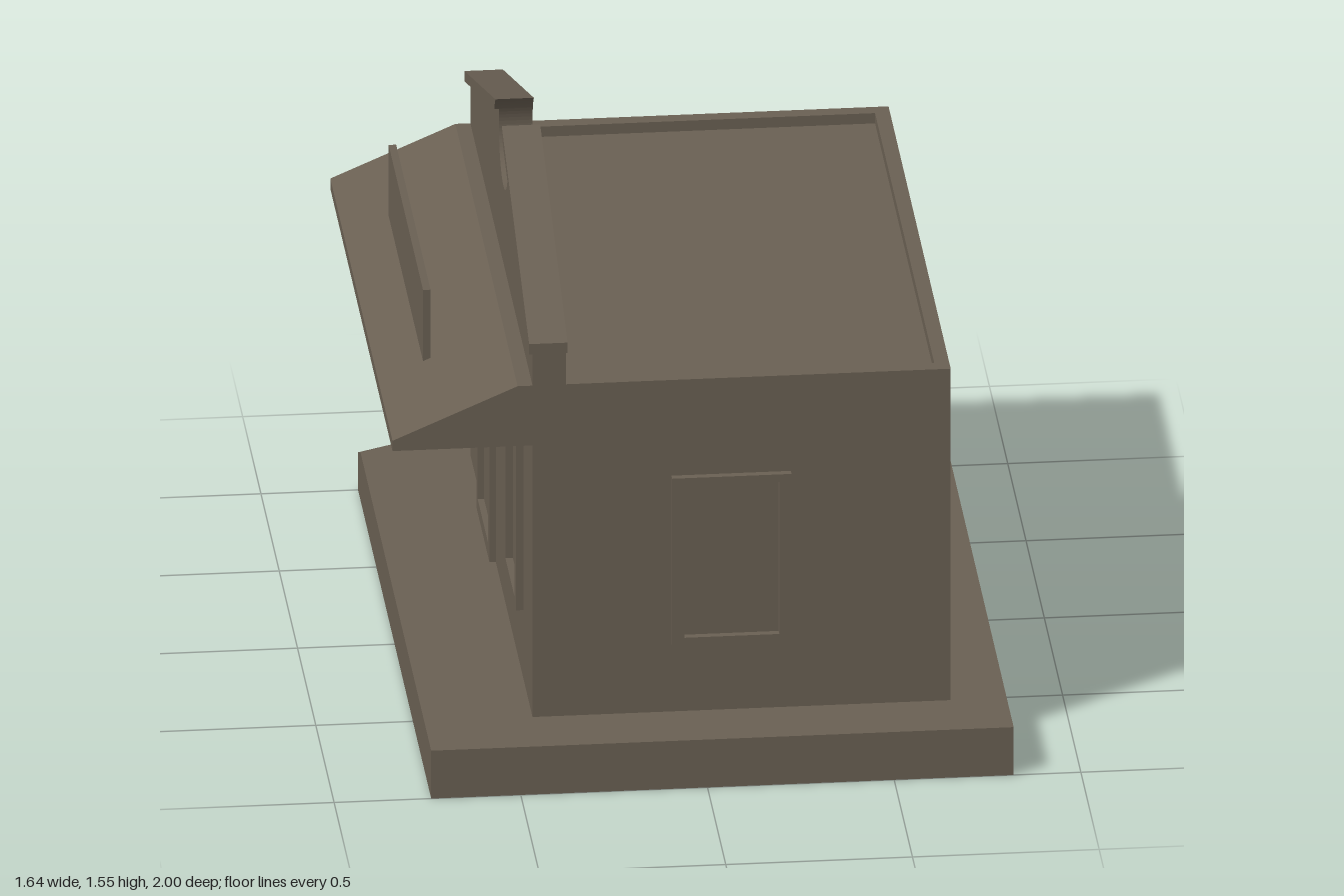
import * as THREE from 'three';
import { ConvexGeometry } from 'three/addons/geometries/ConvexGeometry.js';

const clay = new THREE.MeshStandardMaterial({ color: 0x6a6053 });
clay.name = 'clay';

function add(parent, name, geometry) {
  const mesh = new THREE.Mesh(geometry, clay);
  mesh.name = name;
  parent.add(mesh);
  return mesh;
}

// Box given by its minimum and maximum corners
function box(parent, name, [x0, y0, z0], [x1, y1, z1]) {
  const g = new THREE.BoxGeometry(x1 - x0, y1 - y0, z1 - z0);
  g.translate((x0 + x1) / 2, (y0 + y1) / 2, (z0 + z1) / 2);
  return add(parent, name, g);
}

const rect = (C, x0, y0, x1, y1) => new C([[x0, y0], [x1, y0], [x1, y1], [x0, y1]].map(p => new THREE.Vector2(...p)));

function extrude(shape, depth) {
  return new THREE.ExtrudeGeometry(shape, { depth, bevelEnabled: false, curveSegments: 24 });
}

// Extrude a (-z, y) profile along x from x0 to x1
function alongX(shape, x0, x1) {
  return extrude(shape, x1 - x0).rotateY(Math.PI / 2).translate(x0, 0, 0);
}

// Rectangular frame in the local xy plane, with any number of openings
function frame(outer, holes, depth) {
  const s = rect(THREE.Shape, ...outer);
  for (const h of holes) s.holes.push(rect(THREE.Path, ...h));
  return extrude(s, depth);
}

// Window centred on the local x axis, facing local +z
function windowUnit(name) {
  const g = new THREE.Group();
  g.name = name;
  add(g, 'windowFrame', frame([-0.16, 0.34, 0.16, 0.83], [[-0.127, 0.363, 0.127, 0.808]], 0.02));
  return g;
}

export function createModel() {
  const model = new THREE.Group();
  model.name = 'shop';

  // Base slab with one chipped corner
  const X0 = -0.74, X1 = 0.82, T = 0.14;
  add(model, 'baseSlab', new ConvexGeometry([
    [X0, 0, -1], [X1, 0, -1], [X1, 0, 1], [X0, 0, 1],
    [X1, T, -1], [X1, T, 1], [X0, T, 1],
    [-0.6, T, -1], [X0, T, -0.93], [X0, 0.11, -1],
  ].map(p => new THREE.Vector3(...p))));

  // Walls, flat roof and parapet
  box(model, 'walls', [-0.45, T, -0.89], [0.67, 1.08, 0.81]);
  const parapet = frame([-0.45, -0.81, 0.67, 0.89], [[-0.32, -0.77, 0.63, 0.85]], 0.03);
  add(model, 'parapet', parapet.rotateX(-Math.PI / 2).translate(0, 1.08, 0));

  // Gable wall with a round notch
  const cx = -0.015, cy = 1.46, r = 0.125, low = 0.403, high = 0.81;
  const gable = new THREE.Shape();
  gable.moveTo(-0.81, 1.11);
  gable.lineTo(0.89, 1.11);
  gable.lineTo(0.89, 1.231);
  gable.absarc(cx, cy, r, low, Math.PI - low, true);
  gable.lineTo(-0.81, 1.236);
  gable.closePath();
  add(model, 'gableWall', alongX(gable, -0.45, -0.36));

  // Sloping gable caps
  for (const [name, end, a, b, cw] of [
    ['gableCapLeft', -0.85, Math.PI - low, Math.PI - high, true],
    ['gableCapRight', 0.92, low, high, false],
  ]) {
    const cap = new THREE.Shape();
    cap.moveTo(end, 1.25);
    cap.lineTo(end, 1.22);
    cap.absarc(cx, cy, r, a, b, cw);
    cap.closePath();
    add(model, name, alongX(cap, -0.463, -0.36));
  }

  // Awning over the entrance side, with a sign board standing on it
  const awning = new THREE.Shape([
    [-0.45, 0.935], [-0.45, 1.11], [-0.49, 1.11], [-0.825, 0.965], [-0.825, 0.935],
  ].map(p => new THREE.Vector2(...p)));
  add(model, 'awning', extrude(awning, 1.7).translate(0, 0, -0.89));
  box(model, 'signBoard', [-0.705, 1.015, -0.52], [-0.685, 1.225, 0.42]);

  // Windows on three walls
  for (const [name, x, z, turn] of [
    ['sideWindowFront', 0.082, 0.81, 0],
    ['sideWindowBack', 0.015, -0.89, Math.PI],
    ['shopWindow', -0.45, 0.4, -Math.PI / 2],
  ]) {
    const w = windowUnit(name);
    w.position.set(x, 0, z);
    w.rotation.y = turn;
    model.add(w);
  }

  // Panelled door
  const door = new THREE.Group();
  door.name = 'door';
  add(door, 'doorFrame', frame([-0.18, T, 0.18, 0.83],
    [[-0.14, 0.18, 0.14, 0.41], [-0.14, 0.46, 0.14, 0.79]], 0.017));
  add(door, 'doorWindowFrame', frame([-0.09, 0.53, 0.09, 0.74], [[-0.06, 0.56, 0.06, 0.71]], 0.017));
  door.position.set(-0.45, 0, -0.375);
  door.rotation.y = -Math.PI / 2;
  model.add(door);

  return model;
}
